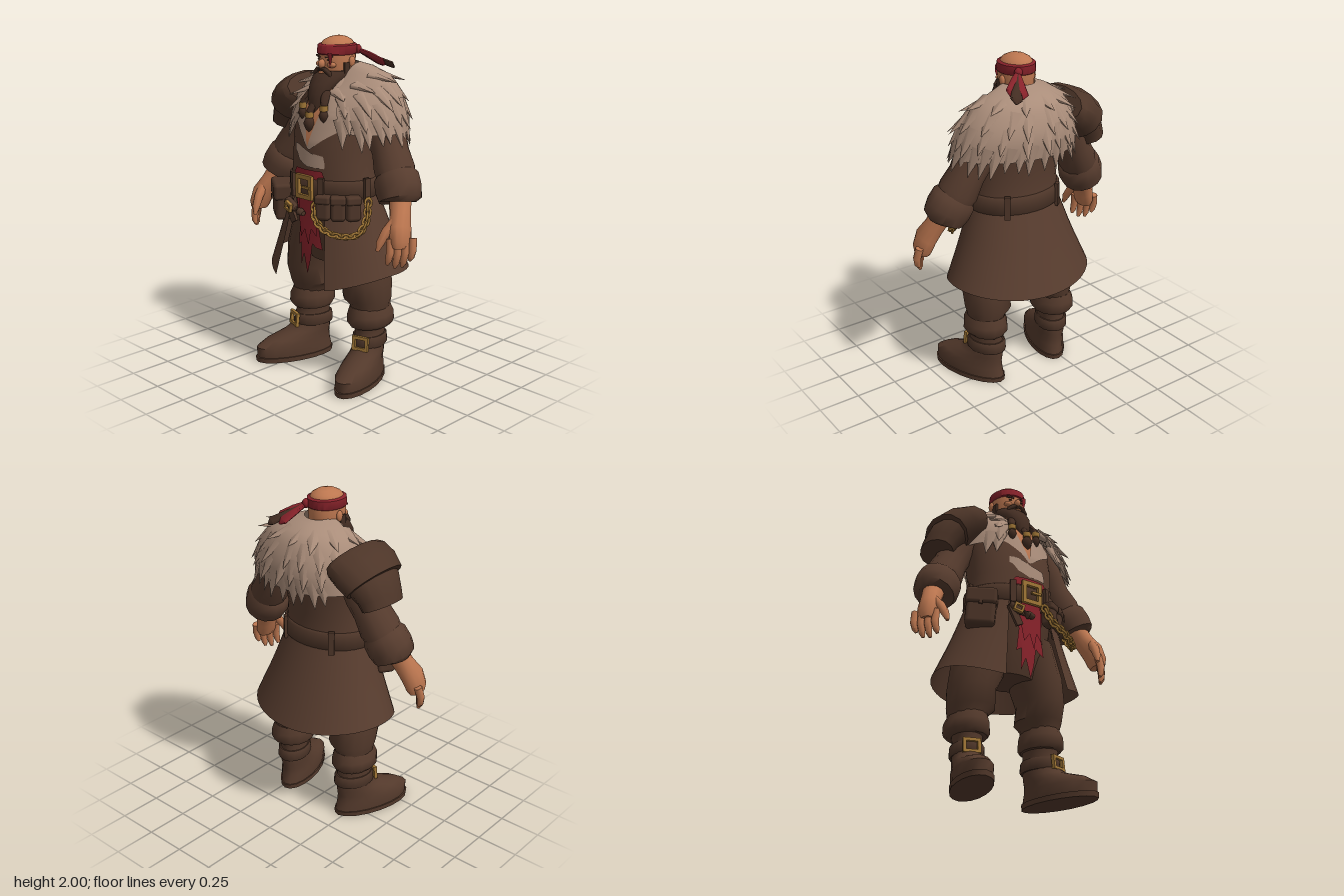
import * as THREE from 'three';
import { mergeGeometries, toCreasedNormals } from 'three/addons/utils/BufferGeometryUtils.js';
import { RoundedBoxGeometry } from 'three/addons/geometries/RoundedBoxGeometry.js';

const V = (x, y, z) => new THREE.Vector3(x, y, z);
function grid(pos, idx, crease = 0.9) {
  const g = new THREE.BufferGeometry();
  g.setAttribute('position', new THREE.Float32BufferAttribute(pos, 3));
  g.setIndex(idx);
  return toCreasedNormals(g, crease);
}

// Closed body through elliptical rings [x, y, z, a, b]; flat keeps rings level (listed bottom to top)
function loft(rings, n = 16, flat = false) {
  const pos = [], idx = [], c = rings.map(r => V(r[0], r[1], r[2])), last = rings.length - 1;
  rings.forEach((r, i) => {
    const t = flat ? V(0, 1, 0) : c[Math.min(i + 1, last)].clone().sub(c[Math.max(i - 1, 0)]).normalize();
    const u = Math.abs(t.x) > 0.97 ? V(0, 0, 1) : V(1, 0, 0);
    u.addScaledVector(t, -u.dot(t)).normalize();
    const w = u.clone().cross(t);
    for (let j = 0; j < n; j++) {
      const a = j / n * Math.PI * 2;
      const p = c[i].clone().addScaledVector(u, r[3] * Math.cos(a)).addScaledVector(w, r[4] * Math.sin(a));
      pos.push(p.x, p.y, p.z);
      const k = i * n + j, m = i * n + (j + 1) % n;
      if (i < last) idx.push(k, k + n, m, m, k + n, m + n);
    }
  });
  const b = pos.length / 3;
  pos.push(...c[0].toArray(), ...c[last].toArray());
  for (let j = 0; j < n; j++) {
    const m = (j + 1) % n, o = last * n;
    idx.push(b, j, m, b + 1, o + m, o + j);
  }
  return grid(pos, idx);
}

// Point on a stack of level rings, angle a measured from the front
function ringAt(rings, k) {
  const i = Math.min(Math.floor(k), rings.length - 2);
  return rings[i].map((v, j) => v + (rings[i + 1][j] - v) * (k - i));
}
function ringPoint(rings, a, k) {
  const r = ringAt(rings, k);
  return V(r[0] + Math.sin(a) * r[3], r[1], r[2] + Math.cos(a) * r[4]);
}

// Open sheet wrapped round the body with a gap at the front
function wrap(rings, gap, n, steps, rule) {
  const pos = [], idx = [];
  for (let i = 0; i <= steps; i++) for (let j = 0; j <= n; j++) {
    const a = gap + (Math.PI * 2 - gap * 2) * j / n, t = i / steps;
    const p = rule(ringPoint(rings, a, t * (rings.length - 1)), a, t);
    pos.push(p.x, p.y, p.z);
    const k = i * (n + 1) + j;
    if (i < steps && j < n) idx.push(k, k + n + 1, k + 1, k + 1, k + n + 1, k + n + 2);
  }
  return grid(pos, idx);
}

const torso = [[0, 1.08, .045, .275, .215], [0, 1.2, .045, .275, .215], [0, 1.3, .045, .262, .21], [0, 1.42, .03, .272, .217],
  [0, 1.57, .005, .275, .205], [0, 1.68, -.01, .22, .175], [0, 1.76, -.01, .14, .14], [0, 1.82, 0, .08, .09]];
// Thin patch lying on the torso front, rows [y, left, right] from top to bottom
function patch(rows, off) {
  const pos = [], idx = [], cols = 8, count = (rows.length - 1) * 4;
  for (let i = 0; i <= count; i++) {
    const [y, l, r] = ringAt(rows, i / 4);
    const s = Math.max(0, torso.findIndex(q => q[1] > y) - 1);
    const q = ringAt(torso, s + (y - torso[s][1]) / (torso[s + 1][1] - torso[s][1]));
    for (let j = 0; j <= cols; j++) {
      const x = l + (r - l) * j / cols, k = i * (cols + 1) + j;
      pos.push(x, y, q[2] + q[4] * Math.sqrt(Math.max(0, 1 - (x / q[3]) ** 2)) + off);
      if (i < count && j < cols) idx.push(k, k + cols + 1, k + 1, k + 1, k + cols + 1, k + cols + 2);
    }
  }
  return grid(pos, idx);
}

// Square buckle frame
function frame(w, h, t) {
  const box = (p, x, y) => p.moveTo(-x, -y).lineTo(x, -y).lineTo(x, y).lineTo(-x, y).closePath();
  const s = box(new THREE.Shape(), w / 2, h / 2);
  s.holes.push(box(new THREE.Path(), w / 2 - t, h / 2 - t));
  return new THREE.ExtrudeGeometry(s, { depth: .02, bevelEnabled: false });
}

export function createModel() {
  const model = new THREE.Group();
  const mat = (name, color, side = THREE.FrontSide) => Object.assign(new THREE.MeshStandardMaterial({ color, side }), { name });
  const coat = mat('coat brown', 0x573c2e, THREE.DoubleSide), cloth = mat('trouser brown', 0x53392b);
  const leather = mat('leather brown', 0x4d3528, THREE.DoubleSide), hair = mat('dark hair', 0x432d22);
  const fur = mat('fur', 0xaa8d7a, THREE.DoubleSide), skin = mat('skin', 0xbd7750);
  const red = mat('red cloth', 0x87222a, THREE.DoubleSide), gold = mat('old gold', 0xa07636);
  const add = (name, geo, m, p = [0, 0, 0], r = [0, 0, 0], parent = model) => {
    const o = new THREE.Mesh(geo, m);
    o.name = name; o.position.set(...p); o.rotation.set(...r);
    parent.add(o);
    return o;
  };
  const ball = (name, m, p, sx, sy, sz) => add(name, new THREE.SphereGeometry(1, 12, 8), m, p).scale.set(sx, sy, sz);
  const box = (w, h, d) => new THREE.BoxGeometry(w, h, d);

  // Torso, chest and shirt patches
  add('coatBody', loft(torso.slice(0, 5), 32, true), coat);
  add('furYoke', loft(torso.slice(4), 32, true), fur);
  add('furLapel', patch([[1.6, -.2, .22], [1.54, -.19, .22], [1.5, -.12, .19], [1.44, -.05, .1], [1.38, 0, .02]], .006), fur);
  add('bareChest', patch([[1.74, -.085, .085], [1.6, -.065, .065], [1.5, -.03, .03], [1.4, 0, .004]], .011), skin);
  add('shirtPatch', patch([[1.4, -.12, -.08], [1.36, -.12, .03], [1.35, -.1, .11], [1.31, -.07, .12], [1.28, 0, .12]], .006), fur);
  add('redSash', patch([[1.265, -.09, .11], [1.215, -.13, .13]], .01), red);

  // Coat skirt, open at the front
  add('coatSkirt', wrap([[0, 1.13, .045, .278, .218], [0, .9, .024, .356, .287], [0, .66, .003, .452, .363]], .47, 36, 5, (p, a, t) => {
    const c = Math.cos(a), hem = .68 - (c > 0 ? .1 : .035) * c * c;
    p.y = 1.13 + (hem - 1.13) * t;
    return p;
  }), coat);

  // Trousers, rolled cuffs and boots
  add('hips', loft([[0, .7, .02, .17, .14], [0, .85, .03, .24, .18], [0, 1.1, .045, .265, .2]], 20, true), cloth);
  for (const s of [1, -1]) {
    const x = s * .245;
    add('trouserLeg', loft([[x, .4, -.01, .1, .125], [x, .46, -.01, .112, .13], [s * .228, .495, -.005, .136, .15], [s * .235, .6, .01, .132, .165],
      [s * .19, .75, .02, .162, .17], [s * .14, .95, .02, .14, .17]], 16, true), cloth);
    add('trouserCuff', loft([[x, .325, -.01, .11, .13], [x * 1.02, .35, -.01, .128, .15], [x * 1.02, .4, -.01, .124, .15],
      [x, .45, -.01, .104, .132]], 14, true), cloth);
    const boot = new THREE.Group();
    boot.name = 'boot'; boot.position.set(x, 0, -.01); boot.rotation.y = s * .32;
    model.add(boot);
    const bootPart = (name, rings, m) => add(name, loft(rings, 18, true), m, [0, 0, 0], [0, 0, 0], boot);
    bootPart('sole', [[0, 0, .13, .108, .254], [0, .03, .13, .11, .258]], cloth);
    bootPart('bootFoot', [[0, .03, .128, .103, .249], [0, .09, .136, .107, .244], [0, .13, .105, .097, .21], [0, .17, .04, .09, .15],
      [0, .22, .005, .084, .115], [0, .3, 0, .083, .108], [0, .345, 0, .09, .116]], cloth);
    bootPart('bootStrap', [[0, .205, 0, .092, .122], [0, .215, 0, .098, .128], [0, .265, 0, .096, .124], [0, .275, 0, .09, .116]], leather);
    add('bootBuckle', frame(.1, .085, .018), gold, [0, .24, .118], [-.1, 0, 0], boot);
  }

  // Arms, cuffs and hands
  for (const s of [1, -1]) {
    add('sleeve', loft([[s * .21, 1.64, -.03, .09, .1], [s * .275, 1.57, -.04, .11, .12], [s * .335, 1.46, -.04, .108, .118],
      [s * .375, 1.38, -.03, .1, .11], [s * .42, 1.29, -.015, .115, .12], [s * .455, 1.23, 0, .1, .11]], 14), coat);
    add('sleeveCuff', loft([[s * .425, 1.275, -.01, .1, .105], [s * .445, 1.245, -.005, .13, .128], [s * .475, 1.185, .01, .135, .13],
      [s * .5, 1.135, .022, .122, .122], [s * .502, 1.125, .024, .09, .09]], 14), coat);
    add('palm', loft([[s * .5, 1.16, .025, .065, .062], [s * .54, 1.07, .065, .058, .062], [s * .572, 1.0, .1, .056, .074],
      [s * .592, .93, .115, .05, .07], [s * .595, .9, .118, .038, .058]], 12), skin);
    for (let f = 0; f < 4; f++) {
      const k = (f - 1.5) * .035, bx = s * (.598 + k * .75), bz = .117 - k * .9, l = [.12, .14, .135, .1][f];
      add('finger', loft([[bx, .955, bz, .023, .024], [bx + s * .012, .93 - l * .4, bz + .012, .023, .022],
        [bx + s * .006, .93 - l * .8, bz + .018, .019, .018], [bx - s * .004, .93 - l, bz + .018, .009, .009]], 8), skin);
    }
    add('thumb', loft([[s * .555, 1.05, .11, .03, .032], [s * .535, .99, .17, .027, .028], [s * .522, .93, .205, .023, .022],
      [s * .516, .885, .22, .01, .01]], 8), skin);
  }

  // Layered guard on the right shoulder
  add('shoulderGuardLower', loft([[-.33, 1.6, -.04, .12, .19], [-.4, 1.55, -.04, .115, .175], [-.435, 1.49, -.04, .1, .15],
    [-.455, 1.445, -.04, .092, .14]], 14), leather);
  add('shoulderGuardUpper', loft([[-.245, 1.68, -.04, .1, .215], [-.27, 1.663, -.04, .122, .235], [-.335, 1.62, -.04, .138, .23],
    [-.395, 1.565, -.04, .138, .205]], 14), leather);

  // Fur mantle, dropped at the front and slimmer under the guard, with overlapping tufts
  const mantle = [[0, 1.85, 0, .11, .115], [0, 1.825, -.025, .2, .165], [0, 1.78, -.04, .305, .22], [0, 1.69, -.04, .38, .265],
    [0, 1.6, -.04, .42, .285], [0, 1.49, -.03, .442, .28]];
  const drape = (p, a) => {
    if (p.x < 0) p.x *= .74;
    p.y -= .13 * Math.max(0, Math.cos(a)) * Math.max(0, (p.y - 1.5) / .35);
    return p;
  };
  add('furMantle', wrap(mantle, .48, 36, 10, drape), fur);
  let seed = 7;
  const rnd = () => (seed = (seed * 16807) % 2147483647) / 2147483647;
  const tufts = [];
  for (const [k, n] of [[1.7, 11], [2.7, 15], [3.7, 18], [4.65, 28]]) for (let j = 0; j < n; j++) {
    const a = .55 + (Math.PI * 2 - 1.1) * (j + rnd() * .5) / (n - .5);
    const p = drape(ringPoint(mantle, a, k), a);
    if (p.x < -.24) continue;
    const y = drape(ringPoint(mantle, a, k + .2), a).sub(p).normalize();
    const x = V(Math.cos(a), 0, -Math.sin(a)), out = x.clone().cross(y).negate();
    if (out.dot(V(Math.sin(a), .5, Math.cos(a))) < 0) out.negate();
    y.addScaledVector(out, .12 + rnd() * .14).normalize();
    x.addScaledVector(y, -x.dot(y)).normalize();
    const len = .14 + rnd() * .05, g = new THREE.ConeGeometry(.058, len, 6, 1, true);
    g.scale(1, 1, .4);
    g.applyMatrix4(new THREE.Matrix4().makeBasis(x, y, x.clone().cross(y)).setPosition(p.addScaledVector(y, len / 2 - .05).addScaledVector(out, -.012)));
    tufts.push(g);
  }
  add('furTufts', mergeGeometries(tufts), fur);

  // Head and face
  add('head', loft([[0, 1.68, .01, .075, .08], [0, 1.76, .02, .085, .095], [0, 1.83, .02, .098, .11], [0, 1.9, .02, .1, .115],
    [0, 1.945, .018, .094, .11], [0, 1.975, .015, .074, .088], [0, 1.992, .012, .045, .055], [0, 2, .01, .012, .015]], 20, true), skin);
  ball('nose', skin, [0, 1.85, .14], .018, .027, .024);
  for (const s of [1, -1]) {
    ball('ear', skin, [s * .105, 1.86, .005], .014, .032, .022);
    ball('cheek', skin, [s * .045, 1.845, .108], .03, .018, .022);
    ball('eye', hair, [s * .038, 1.873, .122], .012, .005, .008);
    add('brow', box(.046, .009, .012), hair, [s * .042, 1.89, .125], [0, s * .35, s * .15]);
    add('sideburn', box(.012, .075, .04), hair, [s * .098, 1.82, .04]);
    add('moustache', loft([[0, 1.824, .142, .011, .012], [s * .03, 1.819, .145, .014, .014], [s * .058, 1.797, .135, .013, .013],
      [s * .07, 1.765, .13, .004, .004]], 8), hair);
  }
  ball('lip', skin, [0, 1.802, .146], .022, .008, .01);
  // Headband with knot, tails and a ragged fold over the left eye
  add('headband', loft([[0, 1.898, .02, .1, .114], [0, 1.905, .02, .107, .122], [0, 1.95, .018, .104, .119], [0, 1.957, .018, .093, .108]], 20, true), red);
  add('headbandFold', loft([[.05, 1.91, .126, .02, .008], [.055, 1.875, .127, .012, .006], [.05, 1.83, .124, .003, .003]], 6), red);
  ball('headbandKnot', red, [.06, 1.92, -.085], .024, .028, .022);
  for (const [x, y, z, m] of [[.165, 1.85, -.17, red], [.12, 1.84, -.21, red], [.18, 1.83, -.235, hair]])
    add('headbandTail', loft([[.06, 1.92, -.08, .012, .012], [.06 + (x - .06) * .5, y + .04, -.08 + (z + .08) * .5, .025, .015],
      [x, y, z, .035, .015], [x + .012, y - .02, z - .015, .006, .005]], 8), m);

  // Beard and three beaded braids
  add('beard', loft([[0, 1.58, .2, .022, .018], [0, 1.63, .188, .048, .034], [0, 1.69, .162, .07, .055], [0, 1.74, .115, .09, .082],
    [0, 1.785, .06, .106, .105], [0, 1.812, .035, .103, .1]], 16, true), hair);
  const drop = new THREE.LatheGeometry([[0, 0], [.02, .022], [.033, .052], [.022, .078], [0, .092]].map(p => new THREE.Vector2(...p)), 8);
  for (const [x, top, tip, k] of [[-.085, 1.69, 1.53, .85], [0, 1.63, 1.47, 1.05], [.085, 1.69, 1.53, .85]]) {
    const z = x ? .208 : .238, bead = tip + .092 * k;
    add('braid', loft([[x, bead - .01, z, .016, .016], [x * .95, (bead + top) / 2, z - .01, .023, .023], [x * .6, top + .02, z - .055, .028, .028]], 8, true), hair);
    add('braidTip', drop, hair, [x, tip, z]).scale.setScalar(k);
    add('braidBead', new THREE.CylinderGeometry(.023, .023, .03, 8), gold, [x, bead + .008, z]);
  }

  // Belt, loops and buckle
  const beltPos = (a, y, off) => [Math.sin(a) * (.288 + off), y, .045 + Math.cos(a) * (.228 + off)];
  add('belt', loft([[0, 1.105, .045, .28, .22], [0, 1.115, .045, .29, .23], [0, 1.205, .045, .288, .228], [0, 1.215, .045, .277, .217]], 32, true), leather);
  for (const a of [.4, -.4, 1.45, -1.45, 2.5, -2.5]) add('beltLoop', box(.034, .14, .022), leather, beltPos(a, 1.16, .006), [0, a, 0]);
  add('beltBuckle', frame(.13, .14, .025), gold, [0, 1.165, .272]);
  add('bucklePin', box(.065, .014, .014), gold, [.025, 1.165, .292]);

  // Ragged red cloth hanging at the front
  const rag = pts => {
    const g = new THREE.ShapeGeometry(new THREE.Shape(pts.map(p => new THREE.Vector2(...p))));
    const p = g.attributes.position;
    for (let i = 0; i < p.count; i++) p.setZ(i, -2 * p.getX(i) ** 2);
    g.computeVertexNormals();
    return g;
  };
  add('redClothBack', rag([[-.1, 1.11], [-.11, 1.06], [-.07, .94], [-.085, .8], [-.055, .82], [-.06, .68], [-.03, .76], [0, .64],
    [.025, .73], [.04, .83], [.065, .81], [.105, .8], [.08, .94], [.105, 1.07], [.1, 1.11]]), red, [0, 0, .262]);
  add('redClothFront', rag([[-.06, 1.11], [-.07, 1.0], [-.045, .86], [-.01, .91], [.02, .82], [.04, .92], [.075, .88], [.08, 1.02], [.07, 1.11]]), red, [0, 0, .272]);

  // Large pouch, small tool holder and three belt pouches
  const pouch = new THREE.Group();
  pouch.name = 'largePouch'; pouch.position.set(-.285, 1.03, .19); pouch.rotation.set(0, -.6, -.08);
  model.add(pouch);
  add('pouchBody', new RoundedBoxGeometry(.17, .2, .11, 2, .025), leather, [0, -.015, 0], [0, 0, 0], pouch);
  add('pouchFlap', new RoundedBoxGeometry(.18, .1, .125, 2, .02), leather, [0, .06, .004], [0, 0, 0], pouch);
  add('pouchStud', box(.02, .03, .012), leather, [0, .015, .066], [0, 0, 0], pouch);
  add('toolHolder', loft([[-.15, 1.06, .275, .024, .024], [-.09, 1.03, .285, .032, .028], [-.03, 1.015, .292, .026, .024], [.005, 1.01, .294, .016, .014]], 8), leather);
  add('toolStrap', box(.045, .13, .018), leather, [-.115, 1.0, .28], [0, 0, .5]);
  add('toolBuckle', frame(.06, .05, .013), gold, [-.105, 1.035, .3], [0, -.2, -.3]);
  for (const a of [.47, .77, 1.08]) {
    add('beltPouch', new RoundedBoxGeometry(.085, .14, .075, 2, .022), leather, beltPos(a, 1.065, .015), [0, a, 0]);
    add('beltPouchFlap', new RoundedBoxGeometry(.09, .05, .085, 2, .015), leather, beltPos(a, 1.115, .016), [0, a, 0]);
  }

  // Hanging chain of alternating links
  const path = new THREE.CatmullRomCurve3([V(.09, 1.09, .285), V(.12, 1.01, .31), V(.2, .955, .315), V(.28, .93, .275),
    V(.34, .935, .2), V(.35, 1.0, .14), V(.33, 1.1, .1)]);
  const links = [], count = 22;
  for (let i = 0; i <= count; i++) {
    const g = new THREE.TorusGeometry(.018, .0075, 5, 10);
    g.scale(1.4, 1, 1).rotateX(i % 2 * Math.PI / 2 + .4);
    g.applyQuaternion(new THREE.Quaternion().setFromUnitVectors(V(1, 0, 0), path.getTangentAt(i / count)));
    links.push(g.translate(...path.getPointAt(i / count).toArray()));
  }
  add('beltChain', mergeGeometries(links), gold);
  return model;
}
